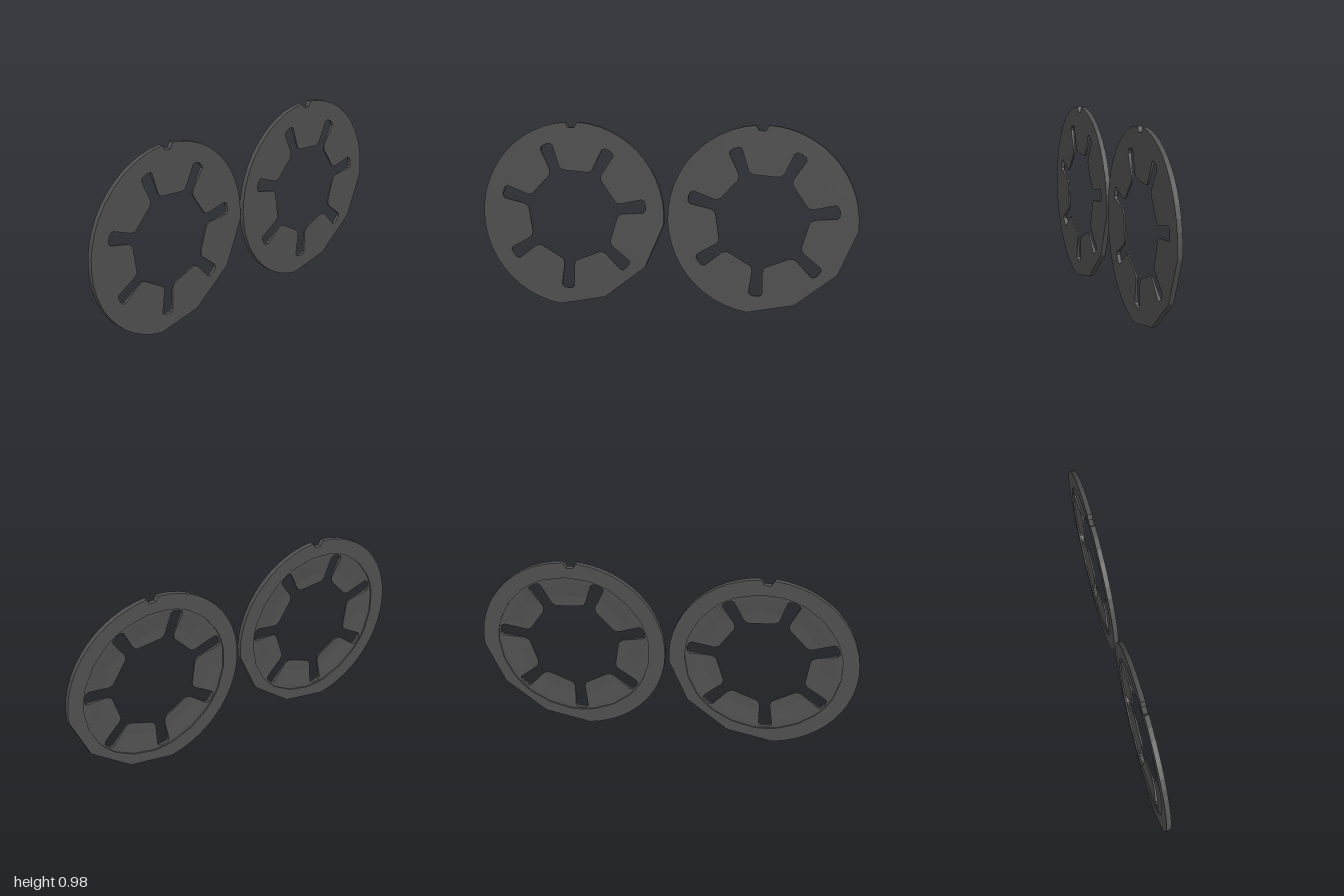
import * as THREE from 'three';

const R = 0.495, HALF = 0.0125, RECESS = 0.41, TABS = 7;
const RAD = Math.PI / 180;
const polar = (r, a) => new THREE.Vector2(r * Math.cos(a), r * Math.sin(a));

// Toothed opening: rounded slots between inward tabs, as [radius, angle] counter-clockwise
function openingOutline() {
  const slot = [[0.27, -0.027], [0.3, -0.029], [0.34, -0.032], [0.385, -0.035], [0.398, -0.025], [0.402, 0],
    [0.398, 0.025], [0.385, 0.035], [0.34, 0.032], [0.3, 0.029], [0.27, 0.027]];
  const tab = [[0.241, -0.08], [0.235, -0.066], [0.235, 0], [0.235, 0.066], [0.241, 0.08]];
  const out = [];
  for (let i = 0; i < TABS; i++) {
    const a = -94.4 * RAD + i * 2 * Math.PI / TABS;
    for (const [u, v] of slot) out.push([Math.hypot(u, v), a + Math.atan2(v, u)]);
    for (const [u, v] of tab) out.push([Math.hypot(u, v), a + Math.PI / TABS + Math.atan2(v, u)]);
  }
  return out;
}

// Outer rim: circle with a notch at the top and three flats at lower right
function rimGeometry(outline) {
  const pts = [];
  const arc = (a0, a1, n) => {
    for (let i = 0; i <= n; i++) pts.push(polar(R, (a0 + (a1 - a0) * i / n) * RAD));
  };
  arc(-4.5, 86.5, 13);
  pts.push(new THREE.Vector2(0.015, 0.466), new THREE.Vector2(-0.02, 0.466));
  arc(94.2, 261.5, 23);
  pts.push(new THREE.Vector2(0.174, -0.441), new THREE.Vector2(0.393, -0.27));
  const shape = new THREE.Shape(pts);
  shape.holes.push(new THREE.Path(outline.map(([, a]) => polar(RECESS, a)).reverse()));
  return new THREE.ExtrudeGeometry(shape, { depth: 2 * HALF, bevelEnabled: false }).translate(0, 0, -HALF);
}

// Thin tabbed web: flat front, dished back
function webGeometry(outline) {
  const rows = [0.2, 0.3, 0.33, 0.36, 0.385, RECESS];
  const backZ = r => HALF - 0.008 - 0.01 * THREE.MathUtils.smoothstep(r, 0.28, RECESS);
  const pos = [];
  const tri = (a, b, c) => {
    const area = b.clone().sub(a).cross(c.clone().sub(a)).length();
    if (area > 1e-9) for (const p of [a, b, c]) pos.push(p.x, p.y, p.z);
  };
  const quad = (a, b, c, d) => { tri(a, b, c); tri(a, c, d); };
  const point = (i, k, back) => {
    const [r0, a] = outline[i];
    const r = Math.max(r0, rows[k]);
    return new THREE.Vector3(r * Math.cos(a), r * Math.sin(a), back ? backZ(r) : HALF);
  };
  outline.forEach((_, i) => {
    const j = (i + 1) % outline.length;
    for (let k = 0; k < rows.length - 1; k++) {
      quad(point(i, k), point(i, k + 1), point(j, k + 1), point(j, k));
      quad(point(j, k, true), point(j, k + 1, true), point(i, k + 1, true), point(i, k, true));
    }
    quad(point(i, 0), point(j, 0), point(j, 0, true), point(i, 0, true));
  });
  const geo = new THREE.BufferGeometry();
  geo.setAttribute('position', new THREE.Float32BufferAttribute(pos, 3));
  geo.computeVertexNormals();
  return geo;
}

export function createModel() {
  const model = new THREE.Group();
  model.name = 'retainingDiscs';
  const material = new THREE.MeshStandardMaterial({ color: 0x505050, flatShading: true });
  const outline = openingOutline();
  const rim = rimGeometry(outline), web = webGeometry(outline);

  // Two identical discs side by side
  for (const [name, x] of [['rightDisc', -0.505], ['leftDisc', 0.505]]) {
    const disc = new THREE.Group();
    disc.name = name;
    for (const [part, geo] of [['rim', rim], ['tabbedWeb', web]]) {
      const mesh = new THREE.Mesh(geo, material);
      mesh.name = part;
      disc.add(mesh);
    }
    disc.position.set(x, 0.49, 0);
    model.add(disc);
  }
  return model;
}
